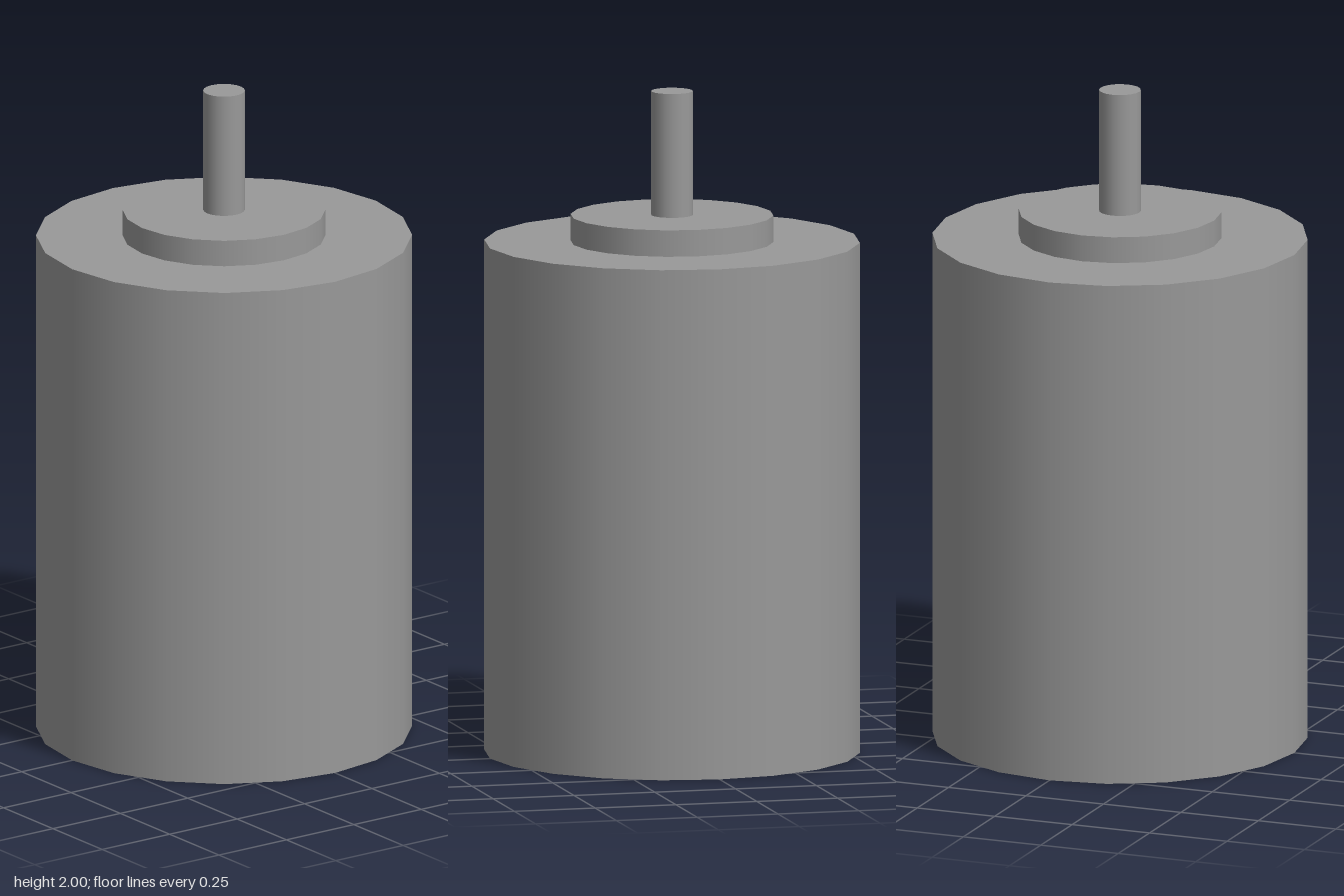
import * as THREE from 'three';

export function createModel() {
  const model = new THREE.Group();
  model.name = 'motor';

  const metal = new THREE.MeshStandardMaterial({ color: 0x999999 });
  metal.name = 'grey metal';

  // Upright cylinder between two heights, smooth round the side
  function addCylinder(name, radius, bottom, top) {
    const geometry = new THREE.CylinderGeometry(radius, radius, top - bottom, 20);
    const mesh = new THREE.Mesh(geometry, metal);
    mesh.name = name;
    mesh.position.y = (bottom + top) / 2;
    model.add(mesh);
  }

  addCylinder('motorBody', 0.563, 0, 1.545);
  addCylinder('collar', 0.304, 1.545, 1.625);
  addCylinder('shaft', 0.0625, 1.625, 2);

  return model;
}
